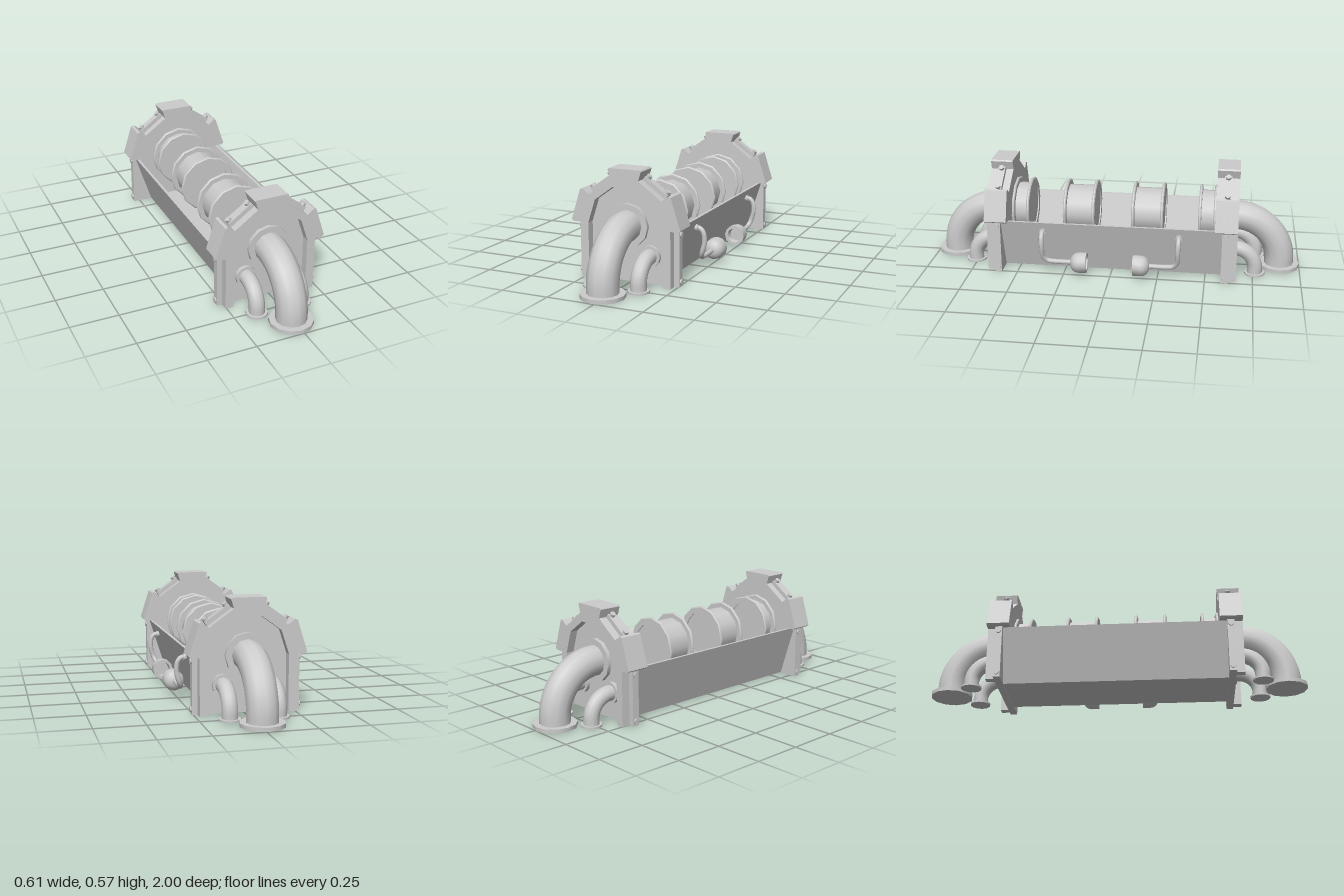
import * as THREE from 'three';
import { toCreasedNormals } from 'three/addons/utils/BufferGeometryUtils.js';

const CX = -0.013;   // centre line of the machine body
const AXIS = 0.285;  // height of the spool axis
const material = new THREE.MeshStandardMaterial({ color: 0xcccccc });
const V = (x, y, z) => new THREE.Vector3(x, y, z);

function add(parent, name, geometry, x = 0, y = 0, z = 0) {
  const mesh = new THREE.Mesh(geometry, material);
  mesh.name = name;
  mesh.position.set(x, y, z);
  parent.add(mesh);
  return mesh;
}

// Extrude an outline between two z values
function slab(points, z0, z1) {
  const shape = new THREE.Shape(points.map(([x, y]) => new THREE.Vector2(x, y)));
  return new THREE.ExtrudeGeometry(shape, { depth: z1 - z0, bevelEnabled: false }).translate(0, 0, z0);
}

// Mirror a right-hand outline (listed bottom to top) across x = 0
const mirrored = (pts) => [...pts, ...[...pts].reverse().map(([x, y]) => [-x, y])];

function lathe(points, sides = 12) {
  const pts = points.map(([r, y]) => new THREE.Vector2(r, y));
  return toCreasedNormals(new THREE.LatheGeometry(pts, sides), 0.7);
}

const disc = (r, h, sides = 12) => new THREE.CylinderGeometry(r, r, h, sides);

// Pipe leaving the end plate, turning down to a foot flange
function elbow(parent, name, x, y, r, bend, foot, footH) {
  const path = new THREE.CurvePath();
  const k = bend * 0.5523, zs = 0.65, ze = zs + bend, yb = y - bend;
  path.add(new THREE.LineCurve3(V(x, y, 0.6), V(x, y, zs)));
  path.add(new THREE.CubicBezierCurve3(V(x, y, zs), V(x, y, zs + k), V(x, yb + k, ze), V(x, yb, ze)));
  path.add(new THREE.LineCurve3(V(x, yb, ze), V(x, 0.004, ze)));
  add(parent, name, new THREE.TubeGeometry(path, 32, r, 12, false));
  add(parent, name + 'Foot', disc(foot, footH), x, footH / 2, ze);
  add(parent, name + 'Collar', disc(foot, 0.02).rotateX(Math.PI / 2), x, y, 0.63);
}

function createEnd() {
  const end = new THREE.Group();
  end.name = 'endAssembly';

  // Upper outline: shoulder, notch for the clamp strip, crown
  const upper = [[0.294, 0.293], [0.291, 0.303], [0.244, 0.45], [0.231, 0.455],
    [0.196, 0.428], [0.0745, 0.515], [0.089, 0.56], [0.083, 0.567]];
  const shoulder = [[0.242, 0.285], [0.283, 0.285], ...upper];

  // Front frame: an arch open at the bottom
  const outer = mirrored([[0.242, 0], ...shoulder]);
  const inner = mirrored([[0.201, 0], [0.201, 0.285], [0.162, 0.404], [0.064, 0.475]]).reverse();
  add(end, 'frontFrame', slab([...outer, ...inner], 0.62, 0.663));

  // Middle plate, wider below to form the side flanges
  add(end, 'endPlate', slab(mirrored([[0.27, 0], [0.27, 0.285], [0.283, 0.285], ...upper]), 0.583, 0.62));
  add(end, 'backFrame', slab(mirrored(shoulder), 0.545, 0.583));

  for (const s of [1, -1]) {
    // Clamp strip lying in the sloped notch, with two bolts
    const clamp = new THREE.Group();
    clamp.name = 'clampStrip';
    clamp.position.set(s * 0.138, 0.474, 0.602);
    clamp.rotation.z = -s * 0.621;
    add(clamp, 'strip', new THREE.BoxGeometry(0.146, 0.026, 0.037), 0, 0.006, 0);
    for (const t of [-0.06, 0.06]) add(clamp, 'clampBolt', disc(0.014, 0.016, 8), t, 0.026, 0);
    end.add(clamp);

    // Bolts on the side flange
    for (const y of [0.025, 0.26]) {
      add(end, 'sideBolt', disc(0.014, 0.016, 8).rotateZ(Math.PI / 2), s * 0.27, y, 0.602);
    }
    elbow(end, 'smallPipe', s * 0.12, 0.143, 0.04, 0.11, 0.054, 0.01);
  }
  elbow(end, 'mainPipe', 0, AXIS, 0.078, 0.24, 0.11, 0.02);
  return end;
}

// Spool: a core between two rimmed flanges
function createSpool(z, length) {
  const spool = new THREE.Group();
  spool.name = 'spool';
  spool.position.set(0, AXIS, z);
  add(spool, 'spoolCore', disc(0.128, length - 0.012).rotateX(Math.PI / 2));
  const rim = lathe([[0.12, -0.008], [0.152, -0.008], [0.158, -0.003], [0.158, 0.003],
    [0.152, 0.008], [0.12, 0.008], [0.12, -0.008]]).rotateX(Math.PI / 2);
  for (const s of [-1, 1]) add(spool, 'spoolRim', rim, 0, 0, s * (length / 2 - 0.008));
  return spool;
}

// Horn with its bent feed pipe; dir is the end of the machine it points away from
function createHorn(dir) {
  const horn = new THREE.Group();
  horn.name = 'horn';
  const cup = lathe([[0, 0], [0.025, 0.003], [0.042, 0.013], [0.052, 0.028], [0.055, 0.045], [0.055, 0.087],
    [0.04, 0.087], [0.036, 0.05], [0, 0.05]]).rotateX(-Math.PI / 2);
  add(horn, 'hornCup', cup, 0.252, 0.075, 0.21);
  const path = new THREE.CatmullRomCurve3([V(0.215, 0.234, 0.36), V(0.25, 0.234, 0.36), V(0.27, 0.215, 0.36),
    V(0.277, 0.165, 0.358), V(0.262, 0.105, 0.355), V(0.252, 0.08, 0.335), V(0.252, 0.075, 0.3), V(0.252, 0.075, 0.2)]);
  add(horn, 'hornPipe', new THREE.TubeGeometry(path, 40, 0.013, 8, false));
  add(horn, 'hornPipeCollar', disc(0.018, 0.012, 8).rotateZ(Math.PI / 2), 0.238, 0.234, 0.36);
  if (dir < 0) {
    // Mirror across z and restore the face winding
    for (const mesh of horn.children) {
      mesh.geometry = mesh.geometry.index ? mesh.geometry.toNonIndexed() : mesh.geometry;
      mesh.geometry.scale(1, 1, -1);
      mesh.position.z *= -1;
      for (const attr of Object.values(mesh.geometry.attributes)) {
        const a = attr.array, n = attr.itemSize;
        for (let i = 0; i < a.length; i += 3 * n) {
          for (let j = 0; j < n; j++) [a[i + n + j], a[i + 2 * n + j]] = [a[i + 2 * n + j], a[i + n + j]];
        }
      }
    }
  }
  return horn;
}

export function createModel() {
  const model = new THREE.Group();
  model.name = 'machine';
  const body = new THREE.Group();
  body.name = 'body';
  body.position.x = CX;
  model.add(body);

  // Open trough with walls leaning outward
  const trough = [...mirrored([[0.165, 0.003], [0.255, 0.285]]),
    ...mirrored([[0.156, 0.015], [0.24, 0.285]]).reverse()];
  // Order: outer right wall, rims, inner face
  const [a, b, c, d] = trough;
  const inside = [[-0.24, 0.285], [-0.156, 0.015], [0.156, 0.015], [0.24, 0.285]];
  add(body, 'trough', slab([d, a, b, ...[...inside].reverse(), c], -0.59, 0.59));

  // Spools in a row, the outer two against the end plates
  for (const s of [-1, 1]) {
    body.add(createSpool(s * 0.183, 0.17), createSpool(s * 0.5, 0.095));
    const end = createEnd();
    if (s < 0) end.rotation.y = Math.PI;
    body.add(end);
    model.add(createHorn(s));
  }
  return model;
}
